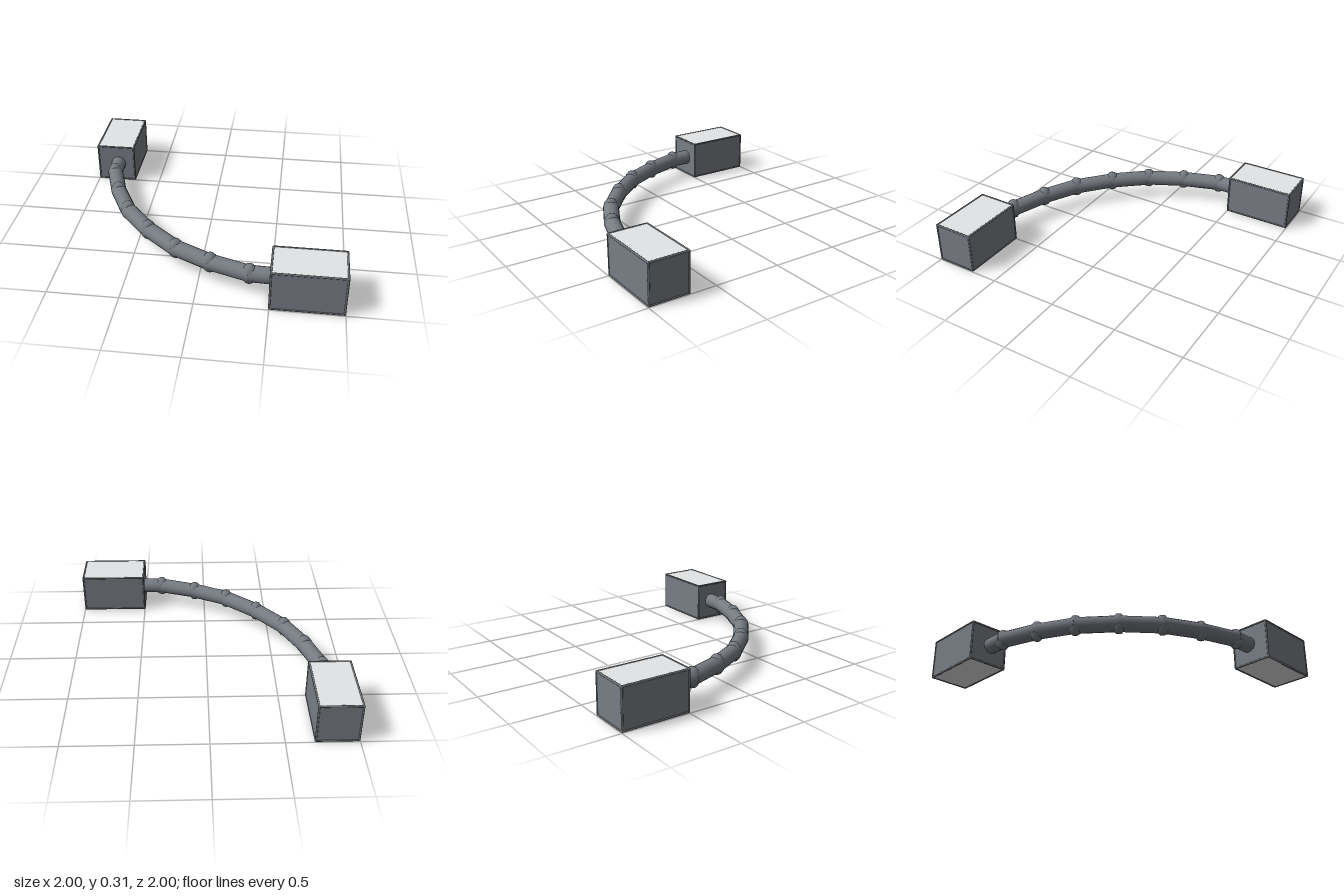
import * as THREE from 'three';

const material = (name, color) => {
  const m = new THREE.MeshStandardMaterial({ color });
  m.name = name;
  return m;
};

export function createModel() {
  const model = new THREE.Group();
  const panelGrey = material('panel grey', 0x797e86);
  const edgeGrey = material('edge grey', 0x6c7175);
  const lightGrey = material('light cap grey', 0xe5e6e8);
  const pipeGrey = material('pipe grey', 0x767b82);

  const Y = 0.1525;        // height of the pipe axis
  const PIPE = 0.058;      // pipe radius
  const EDGE = 0.0075;     // radius of the rods along the block edges

  // Block with light top and bottom faces and a thin round rod along each edge
  function endBlock(name, x, z, w, d) {
    const inset = 1.2 * EDGE;
    const size = [w - 2 * EDGE, 2 * Y - 2 * EDGE, d - 2 * EDGE];
    const group = new THREE.Group();
    group.name = name;
    group.position.set(x, Y, z);

    const core = new THREE.Mesh(
      new THREE.BoxGeometry(w - inset, 2 * Y - inset, d - inset),
      [panelGrey, panelGrey, lightGrey, lightGrey, panelGrey, panelGrey]);
    core.name = 'blockFaces';
    group.add(core);

    for (let axis = 0; axis < 3; axis++) {
      const geo = new THREE.CylinderGeometry(EDGE, EDGE, size[axis], 8);
      if (axis === 0) geo.rotateZ(Math.PI / 2);
      if (axis === 2) geo.rotateX(Math.PI / 2);
      const u = (axis + 1) % 3, v = (axis + 2) % 3;
      for (const su of [-0.5, 0.5]) for (const sv of [-0.5, 0.5]) {
        const rod = new THREE.Mesh(geo, edgeGrey);
        rod.name = 'edgeRod';
        rod.position.setComponent(u, su * size[u]);
        rod.position.setComponent(v, sv * size[v]);
        group.add(rod);
      }
    }

    // Rounded corners where the rods meet
    const cornerGeo = new THREE.SphereGeometry(EDGE, 8, 6);
    for (const sx of [-0.5, 0.5]) for (const sy of [-0.5, 0.5]) for (const sz of [-0.5, 0.5]) {
      const corner = new THREE.Mesh(cornerGeo, edgeGrey);
      corner.name = 'edgeCorner';
      corner.position.set(sx * size[0], sy * size[1], sz * size[2]);
      group.add(corner);
    }
    model.add(group);
  }
  endBlock('backBlock', -0.8475, -0.7475, 0.305, 0.505);
  endBlock('frontBlock', 0.7475, 0.8475, 0.505, 0.305);

  // Half of the bent path as [x, z]; the other half is mirrored across the diagonal
  const half = [[-0.831, -0.51], [-0.825, -0.355], [-0.734, -0.08], [-0.604, 0.177]];
  const path = [...half, [-0.408, 0.408], ...half.map(([x, z]) => [-z, -x]).reverse()];
  const points = path.map(([x, z]) => new THREE.Vector3(x, Y, z));

  // Straight pipe sections
  const up = new THREE.Vector3(0, 1, 0);
  for (let i = 0; i < points.length - 1; i++) {
    const dir = points[i + 1].clone().sub(points[i]);
    const pipe = new THREE.Mesh(
      new THREE.CylinderGeometry(PIPE, PIPE, dir.length() + 0.012, 16), pipeGrey);
    pipe.name = 'pipeSection' + (i + 1);
    pipe.position.copy(points[i]).addScaledVector(dir, 0.5);
    pipe.quaternion.setFromUnitVectors(up, dir.normalize());
    model.add(pipe);
  }

  // Joints at the bends: upright, showing as small domes above and below the pipe
  const jointGeo = new THREE.SphereGeometry(1, 8, 6).scale(PIPE, 0.077, PIPE);
  for (let i = 1; i < points.length - 1; i++) {
    const joint = new THREE.Mesh(jointGeo, pipeGrey);
    joint.name = 'pipeJoint' + i;
    joint.position.copy(points[i]);
    model.add(joint);
  }
  return model;
}
